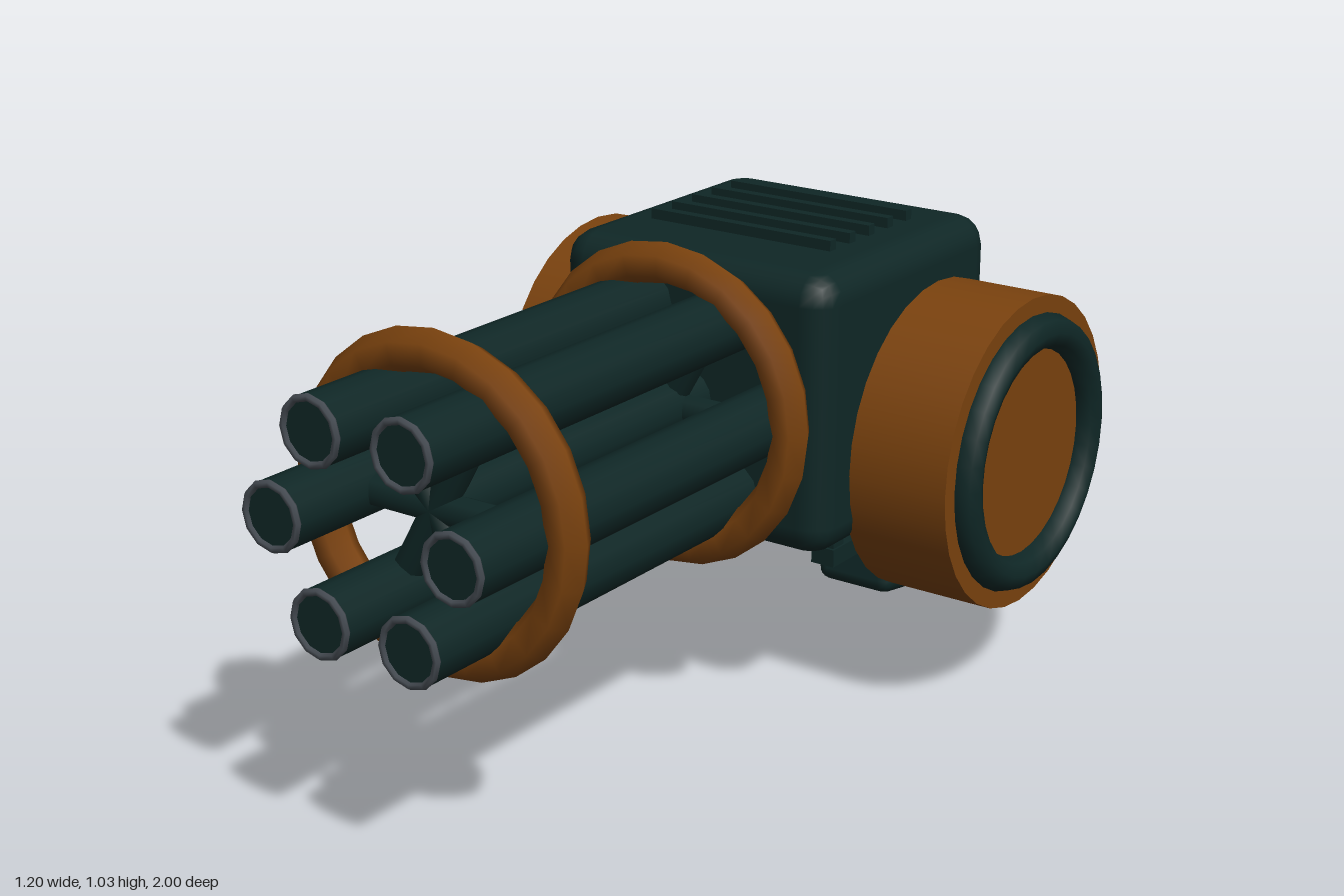
import * as THREE from 'three';
import { RoundedBoxGeometry } from 'three/addons/geometries/RoundedBoxGeometry.js';

const paint = (name, color) => {
  const m = new THREE.MeshStandardMaterial({ color });
  m.name = name;
  return m;
};

export function createModel() {
  const model = new THREE.Group();
  model.name = 'rotaryBlaster';
  const green = paint('dark green', 0x0f2726);
  const bronze = paint('bronze brown', 0x7a420e);
  const blue = paint('bright blue', 0x1883cc);
  const red = paint('signal red', 0xdb2212);
  const grey = paint('steel grey', 0x454b52);

  const add = (name, geometry, material, x, y, z, parent = model) => {
    const mesh = new THREE.Mesh(geometry, material);
    mesh.name = name;
    mesh.position.set(x, y, z);
    parent.add(mesh);
    return mesh;
  };
  const rod = (r, length, sides, axis = 'y') => {
    const g = new THREE.CylinderGeometry(r, r, length, sides);
    if (axis === 'z') g.rotateX(Math.PI / 2);
    if (axis === 'x') g.rotateZ(-Math.PI / 2);
    return g;
  };
  const box = (w, h, d) => new THREE.BoxGeometry(w, h, d);
  const rounded = (w, h, d, r) => new RoundedBoxGeometry(w, h, d, 2, r);

  // Main housing with raised vents on top
  add('housing', rounded(0.67, 0.6, 0.66, 0.065), green, 0, 0.69, -0.335);
  for (let i = 0; i < 5; i++) {
    add('vent', box(0.45, 0.022, 0.022), green, 0, 1.003, -0.2 - i * 0.074);
  }

  // Barrel cluster: shaft, six barrels, two clamp rings with spokes
  const cluster = new THREE.Group();
  cluster.name = 'barrelCluster';
  cluster.position.y = 0.69;
  model.add(cluster);
  add('shaft', rod(0.06, 0.8, 16, 'z'), green, 0, 0, 0.38, cluster);
  const ringZ = [0.065, 0.775];
  for (const z of ringZ) {
    add('clampRing', new THREE.TorusGeometry(0.3, 0.043, 6, 24), bronze, 0, 0, z, cluster);
  }
  for (let i = 0; i < 6; i++) {
    const a = (i * Math.PI) / 3;
    const x = 0.215 * Math.cos(a);
    const y = 0.215 * Math.sin(a);
    add('barrel', rod(0.069, 1.02, 12, 'z'), green, x, y, 0.482, cluster);
    add('muzzleRim', new THREE.TorusGeometry(0.064, 0.008, 6, 12), grey, x, y, 0.991, cluster);
    for (const z of ringZ) {
      add('spoke', rod(0.032, 0.215, 8, 'x'), green, x / 2, y / 2, z, cluster).rotation.z = a;
    }
  }

  // Side drums, canisters and bolts, mirrored
  for (const s of [1, -1]) {
    add('drum', rod(0.335, 0.24, 32, 'x'), bronze, s * 0.44, 0.555, -0.44);
    const rim = new THREE.TorusGeometry(0.26, 0.038, 8, 32).rotateY(Math.PI / 2);
    add('drumRim', rim, green, s * 0.562, 0.555, -0.44);

    add('canister', rod(0.042, 0.175, 16), blue, s * 0.187, 0.6175, -0.885);
    const collar = new THREE.TorusGeometry(0.052, 0.014, 8, 20).rotateX(Math.PI / 2);
    add('canisterCollar', collar, bronze, s * 0.187, 0.522, -0.885);
    add('bolt', rod(0.02, 0.03, 12, 'x'), bronze, s * 0.17, 0.57, -0.7);
  }

  // Rear block with button
  add('rearBlock', rounded(0.33, 0.27, 0.33, 0.025), green, 0, 0.527, -0.802);
  add('button', box(0.12, 0.05, 0.05), red, 0, 0.615, -0.975);

  // Tilted grip with ridges on its back
  add('grip', rounded(0.2, 0.42, 0.23, 0.03), green, 0, 0.224, -0.81).rotation.x = -0.17;
  for (let i = 0; i < 6; i++) {
    add('gripRidge', box(0.206, 0.024, 0.026), green, 0, 0.07 + i * 0.066, -0.938);
  }

  // Trigger and its guard
  add('trigger', box(0.03, 0.11, 0.035), bronze, 0, 0.27, -0.648).rotation.x = 0.25;
  add('guardPost', box(0.05, 0.28, 0.042), green, 0, 0.28, -0.565);
  add('guardBar', box(0.06, 0.042, 0.16), green, 0, 0.155, -0.617);

  return model;
}
